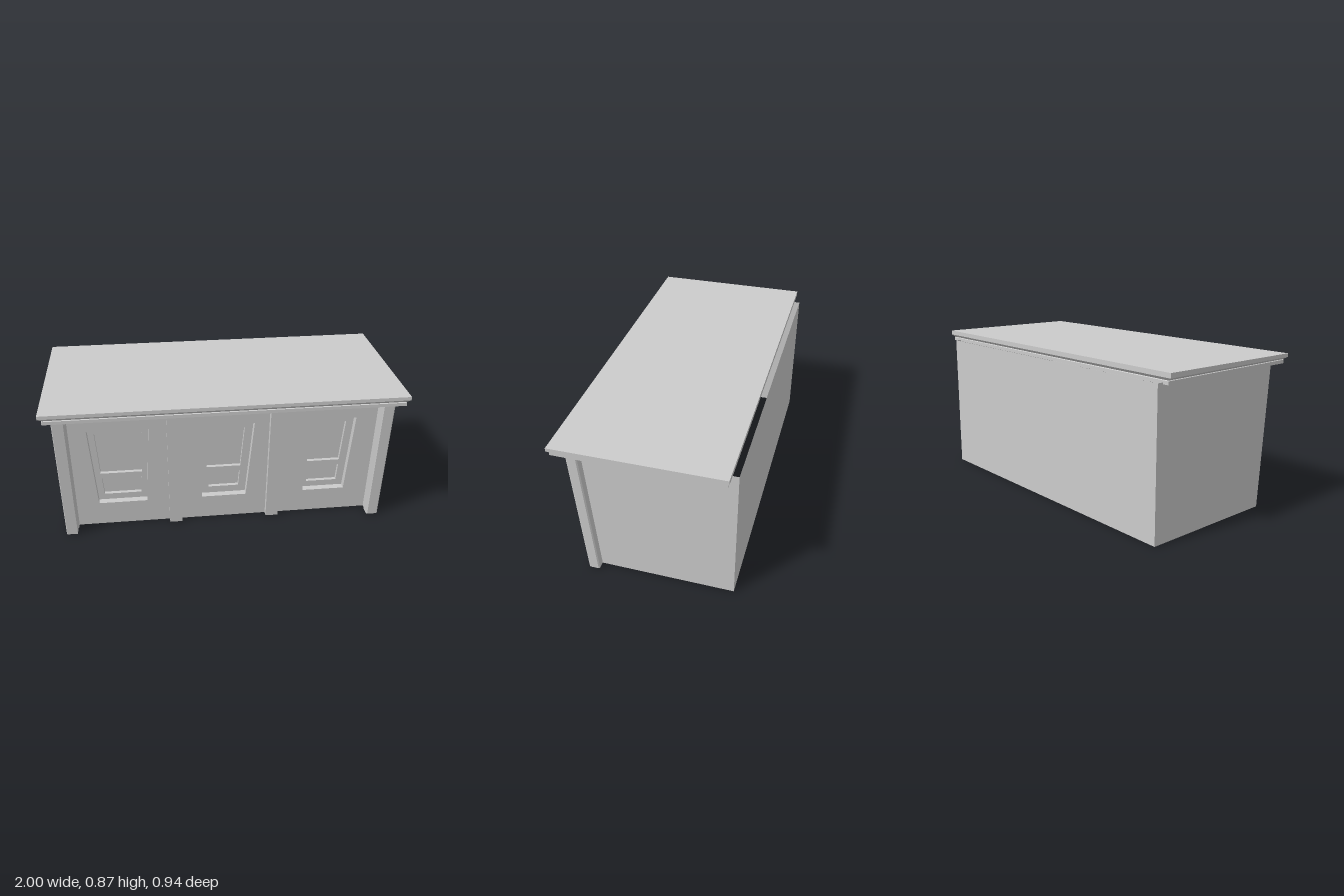
import * as THREE from 'three';

const mat = new THREE.MeshStandardMaterial({ color: 0xcccccc, side: THREE.DoubleSide, flatShading: true });
const LEAN = 0.074;   // forward lean of the front wall, per unit of height
const WALL_Z = 0.256; // front wall at ground level
const BACK_Z = -0.472;
const TOP = 0.816;    // wall height
const FRAME = 0.04;   // depth of the window frame behind the wall
const PANE = 0.062;   // depth of the panes behind the wall

function add(parent, geometry, name) {
  const g = geometry.index ? geometry.toNonIndexed() : geometry;
  g.computeVertexNormals();
  const mesh = new THREE.Mesh(g, mat);
  mesh.name = name;
  parent.add(mesh);
}

// Quads joining two matching rows of 3D points
function strip(a, b, closed) {
  const pos = [];
  const n = a.length;
  for (let i = 0; i < (closed ? n : n - 1); i++) {
    const j = (i + 1) % n;
    for (const p of [a[i], a[j], b[j], a[i], b[j], b[i]]) pos.push(...p);
  }
  const g = new THREE.BufferGeometry();
  g.setAttribute('position', new THREE.Float32BufferAttribute(pos, 3));
  return g;
}

// Trapezoid: bottom y and x range, then top y and x range
const trapezoid = ([y0, l0, r0, y1, l1, r1]) => [[l0, y0], [r0, y0], [r1, y1], [l1, y1]];
const onWall = (points, depth) => points.map(([x, y]) => [x, y, WALL_Z - depth + LEAN * y]);

// Flat sheet with holes, laid parallel to the leaning wall
function leaningSheet(outline, holes, depth) {
  const vec = (pts) => pts.map((p) => new THREE.Vector2(...p));
  const shape = new THREE.Shape(vec(outline));
  for (const h of holes) shape.holes.push(new THREE.Path(vec(h)));
  const g = new THREE.ShapeGeometry(shape);
  const p = g.attributes.position;
  for (let i = 0; i < p.count; i++) p.setZ(i, WALL_Z - depth + LEAN * p.getY(i));
  return g;
}

// Upright sheet following a floor plan of [x, z] points; all but the back edge leans
function upright(plan) {
  return strip(
    plan.map(([x, z]) => [x, 0, z]),
    plan.map(([x, z]) => [x, TOP, z === BACK_Z ? z : z + LEAN * TOP]), false);
}

// Wall bay with a recessed frame and two deeper panes
function windowBay(name, x0, x1, frame, panes) {
  const bay = new THREE.Group();
  bay.name = name;
  const opening = trapezoid(frame);
  const holes = panes.map(trapezoid);
  add(bay, leaningSheet(trapezoid([0, x0, x1, TOP, x0, x1]), [opening], 0), 'wallPanel');
  add(bay, strip(onWall(opening, 0), onWall(opening, FRAME), true), 'windowReveal');
  add(bay, leaningSheet(opening, holes, FRAME), 'windowFrame');
  for (const h of holes) {
    add(bay, strip(onWall(h, FRAME), onWall(h, PANE), true), 'paneReveal');
    add(bay, leaningSheet(h, [], PANE), 'windowPane');
  }
  return bay;
}

export function createModel() {
  const model = new THREE.Group();
  model.name = 'building';

  // Front wall bays
  model.add(
    windowBay('rightBay', -0.875, -0.33, [0.155, -0.745, -0.46, 0.662, -0.775, -0.43], [
      [0.345, -0.722, -0.482, 0.622, -0.737, -0.468],
      [0.195, -0.71, -0.492, 0.31, -0.718, -0.485],
    ]),
    windowBay('middleBay', -0.255, 0.255, [0.155, -0.132, 0.132, 0.662, -0.17, 0.17], [
      [0.345, -0.1, 0.1, 0.613, -0.12, 0.12],
      [0.2, -0.09, 0.09, 0.31, -0.098, 0.098],
    ]),
    windowBay('leftBay', 0.33, 0.88, [0.155, 0.482, 0.735, 0.662, 0.45, 0.76], [
      [0.345, 0.505, 0.7, 0.618, 0.49, 0.715],
      [0.195, 0.51, 0.695, 0.31, 0.505, 0.7],
    ]),
  );

  // Hollow pilasters between the bays
  for (const s of [1, -1]) {
    add(model, upright([
      [s * 0.255, WALL_Z], [s * 0.255, 0.29], [s * 0.33, 0.29], [s * 0.33, WALL_Z],
    ]), 'innerPilaster');
  }

  // Corner pilasters: the left one steps in to its side wall, the right one is flush with it
  add(model, upright([
    [0.88, WALL_Z], [0.88, 0.283], [0.876, 0.29], [0.876, 0.338], [0.882, 0.345],
    [0.939, 0.345], [0.945, 0.338], [0.945, 0.29], [0.939, 0.283], [0.9, 0.283],
  ]), 'leftCornerPilaster');
  add(model, upright([
    [-0.875, WALL_Z], [-0.875, 0.283], [-0.88, 0.29], [-0.88, 0.345], [-0.941, 0.345], [-0.945, 0.338],
  ]), 'rightCornerPilaster');
  add(model, upright([[0.9, 0.283], [0.9, BACK_Z]]), 'leftWall');
  add(model, upright([[-0.945, 0.338], [-0.945, BACK_Z]]), 'rightWall');
  add(model, upright([[0.9, BACK_Z], [-0.945, BACK_Z]]), 'backWall');

  // Cornice and roof: rectangles [half width, front z, back z, front y, back y] stacked upward
  const levels = [
    [0.98, 0.465, -0.437, 0.807, 0.807],
    [0.98, 0.465, -0.437, 0.826, 0.826],
    [0.976, 0.46, -0.433, 0.829, 0.829],
    [1, 0.472, -0.445, 0.843, 0.843],
    [1, 0.472, -0.445, 0.863, 0.869],
  ].map(([w, f, b, yf, yb]) => [[-w, yf, f], [w, yf, f], [w, yb, b], [-w, yb, b]]);
  for (let i = 0; i < levels.length - 1; i++) {
    add(model, strip(levels[i], levels[i + 1], true), 'corniceBand');
  }
  const cap = ([a, b, c, d]) => strip([a, b], [d, c], false);
  add(model, cap(levels[0]), 'soffit');
  add(model, cap(levels[4]), 'roof');

  return model;
}
